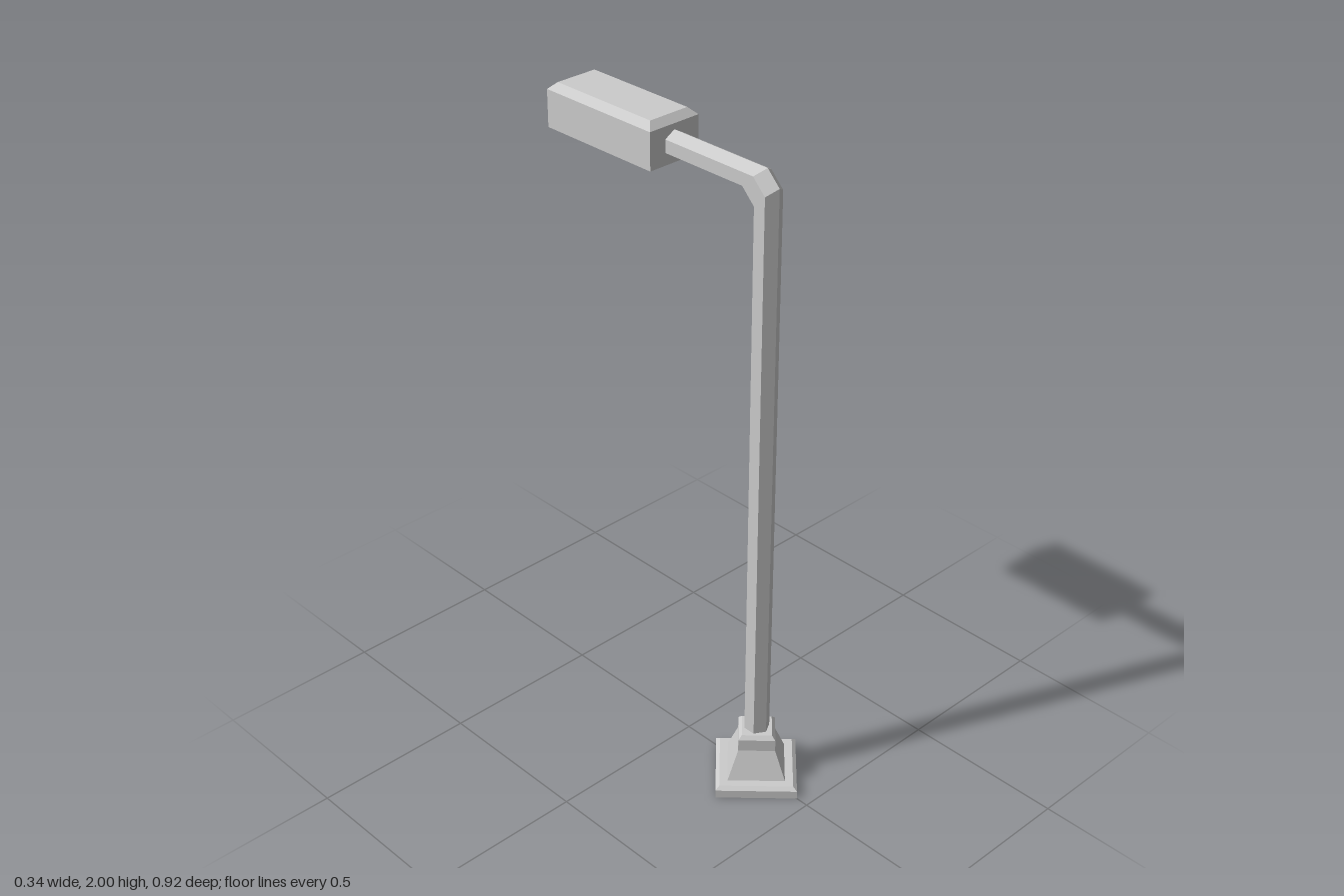
import * as THREE from 'three';

const material = new THREE.MeshStandardMaterial({ color: 0xcccccc, flatShading: true, side: THREE.DoubleSide });
const POLE_Z = 0.29;

function addPart(group, name, geometry) {
  const flat = geometry.index ? geometry.toNonIndexed() : geometry;
  flat.computeVertexNormals();
  const mesh = new THREE.Mesh(flat, material);
  mesh.name = name;
  group.add(mesh);
  return mesh;
}

// Hexagonal tube lofted through rings: [y, z, outward y, outward z]
function hexTube(rings, radius) {
  const corner = ([y, z, oy, oz], k) => {
    const a = (k * Math.PI) / 3;
    const u = radius * Math.cos(a);
    return [radius * Math.sin(a), y + u * oy, z + u * oz];
  };
  const positions = [];
  for (let i = 0; i < rings.length - 1; i++) {
    for (let k = 0; k < 6; k++) {
      const a = corner(rings[i], k), b = corner(rings[i], k + 1);
      const c = corner(rings[i + 1], k + 1), d = corner(rings[i + 1], k);
      positions.push(...a, ...b, ...c, ...a, ...c, ...d);
    }
  }
  const geometry = new THREE.BufferGeometry();
  geometry.setAttribute('position', new THREE.Float32BufferAttribute(positions, 3));
  return geometry;
}

// Box whose upper rim is chamfered on all four sides
function chamferedBox(width, height, depth, bevelHeight, inset) {
  const geometry = new THREE.BoxGeometry(width, height, depth, 1, 2, 1);
  const p = geometry.attributes.position;
  for (let i = 0; i < p.count; i++) {
    const y = p.getY(i);
    if (Math.abs(y) < 1e-6) p.setY(i, height / 2 - bevelHeight);
    if (y > 1e-6) {
      p.setX(i, p.getX(i) - Math.sign(p.getX(i)) * inset);
      p.setZ(i, p.getZ(i) - Math.sign(p.getZ(i)) * inset);
    }
  }
  return geometry;
}

export function createModel() {
  const group = new THREE.Group();
  group.name = 'streetLamp';

  // Four-sided stepped foot, hollow underneath, set corner-forward
  const profile = [
    [0.17, 0], [0.17, 0.026], [0.154, 0.036], [0.12, 0.036],
    [0.077, 0.125], [0.077, 0.163], [0.063, 0.175], [0, 0.175],
  ].map(([r, y]) => new THREE.Vector2(r, y));
  addPart(group, 'base', new THREE.LatheGeometry(profile, 4)).position.z = POLE_Z;

  // Upright pole, bevelled elbow and horizontal arm
  addPart(group, 'poleAndArm', hexTube([
    [0.17, POLE_Z, 0, 1],
    [1.882, POLE_Z, 1, 1],
    [1.925, 0.247, 1, 1],
    [1.925, -0.06, 1, 0],
  ], 0.038));

  // Lamp housing at the end of the arm
  addPart(group, 'lampHead', chamferedBox(0.174, 0.13, 0.408, 0.02, 0.021))
    .position.set(0, 1.935, -0.259);

  return group;
}
